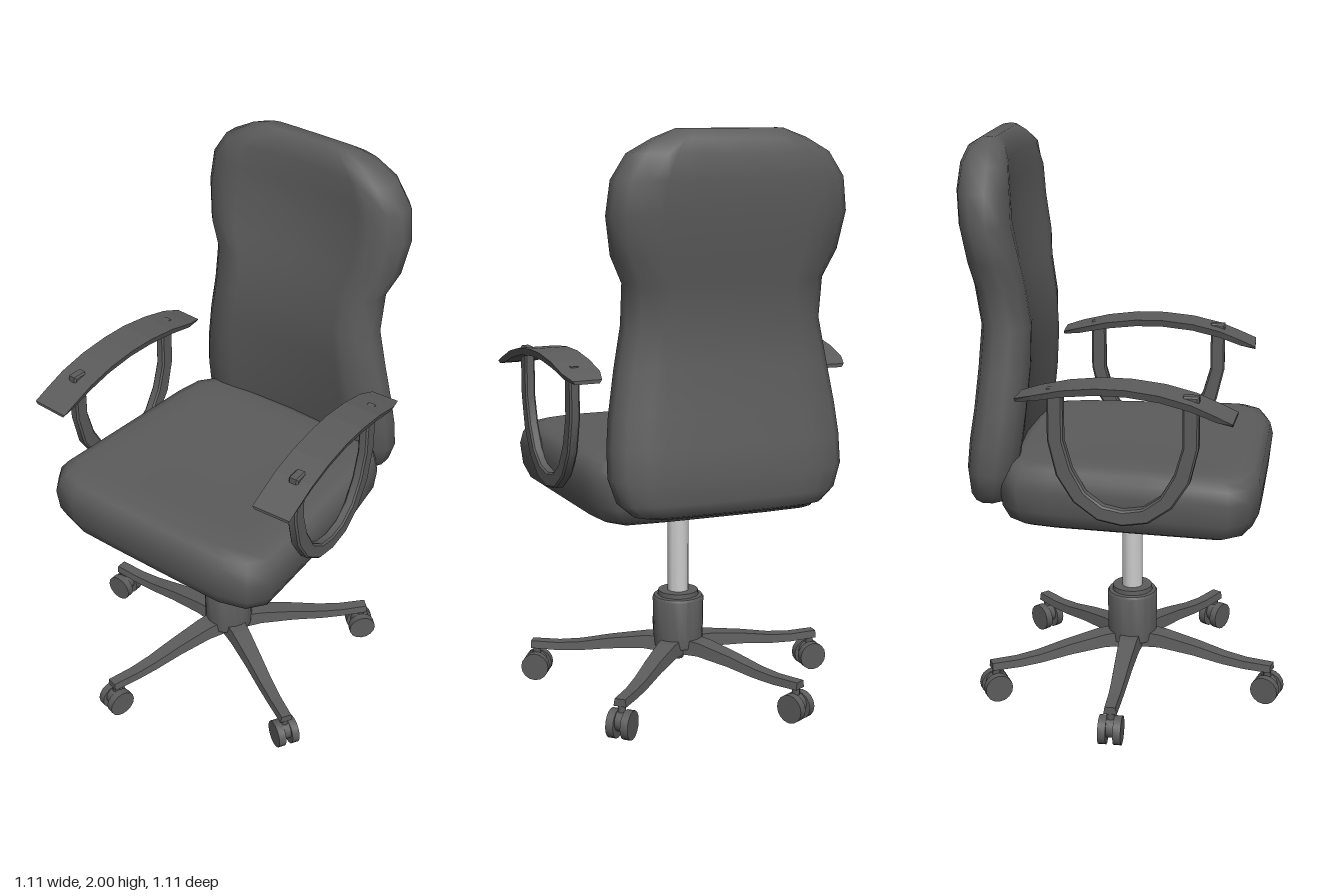
import * as THREE from 'three';
import { toCreasedNormals } from 'three/addons/utils/BufferGeometryUtils.js';

const V = (x, y, z) => new THREE.Vector3(x, y, z);
const dark = new THREE.MeshStandardMaterial({ color: 0x5c5c5c });
const darkFlat = new THREE.MeshStandardMaterial({ color: 0x5c5c5c, flatShading: true });
const metal = new THREE.MeshStandardMaterial({ color: 0xcccccc });

function add(parent, name, geometry, material) {
  const mesh = new THREE.Mesh(geometry, material);
  mesh.name = name;
  parent.add(mesh);
  return mesh;
}

// Skin over closed rings (counter-clockwise about the direction of travel), capped at both ends
function loft(rings) {
  const n = rings[0].length, m = rings.length, pos = [], idx = [];
  rings.forEach(r => r.forEach(p => pos.push(p.x, p.y, p.z)));
  for (let i = 0; i < m - 1; i++) for (let j = 0; j < n; j++) {
    const a = i * n + j, b = i * n + (j + 1) % n, c = a + n, d = b + n;
    idx.push(a, b, c, b, d, c);
  }
  [0, m - 1].forEach((r, end) => {
    const mid = rings[r].reduce((s, p) => s.add(p), V(0, 0, 0)).divideScalar(n);
    const k = pos.push(mid.x, mid.y, mid.z) / 3 - 1;
    for (let j = 0; j < n; j++) {
      const a = r * n + j, b = r * n + (j + 1) % n;
      idx.push(...(end ? [a, b, k] : [b, a, k]));
    }
  });
  const g = new THREE.BufferGeometry();
  g.setAttribute('position', new THREE.Float32BufferAttribute(pos, 3));
  g.setIndex(idx);
  g.computeVertexNormals();
  return g;
}

// Half outline [x, z] from front centre to back centre, completed by mirroring
const mirror = half => [...half, ...half.slice(1, -1).reverse().map(([x, z]) => [-x, z])];

function seat() {
  const outline = mirror([[0, 0.467], [0.17, 0.467], [0.32, 0.465], [0.42, 0.435], [0.467, 0.37], [0.45, 0.1],
    [0.427, -0.25], [0.41, -0.35], [0.36, -0.415], [0.2, -0.425], [0, -0.425]]);
  const levels = [[0.722, 0.15], [0.722, 0.055], [0.735, 0.03], [0.785, 0.008], [0.86, 0],
    [0.905, 0.01], [0.932, 0.03], [0.945, 0.065], [0.945, 0.15], [0.94, 0.3]];
  return loft(levels.map(([y, inset]) => {
    const k = 1 - inset / 0.45;
    return outline.map(([x, z]) => V(x * k, y, 0.02 + (z - 0.02) * k));
  }));
}

function backrest() {
  // height, half width, front z, back z
  const levels = [[0.768, 0.27, -0.43, -0.5], [0.78, 0.33, -0.405, -0.525], [0.82, 0.375, -0.383, -0.535],
    [0.9, 0.4, -0.362, -0.54], [1.0, 0.398, -0.345, -0.53], [1.1, 0.387, -0.332, -0.515], [1.245, 0.362, -0.315, -0.5],
    [1.385, 0.336, -0.31, -0.49], [1.52, 0.337, -0.328, -0.51], [1.61, 0.38, -0.345, -0.525], [1.735, 0.401, -0.367, -0.543],
    [1.845, 0.387, -0.372, -0.55], [1.925, 0.335, -0.375, -0.545], [1.97, 0.255, -0.392, -0.53], [2.0, 0.18, -0.43, -0.485]];
  return loft(levels.map(([y, w, zf, zb]) => {
    const t = Math.min(1, (zf - zb) / 0.17), e = 0.1 * t;
    const half = [[0, 1], [w * 0.4, 1], [w * 0.62, 1], [w - e, 0.97], [w - e * 0.35, 0.75], [w, 0.3], [w, -0.3],
      [w - e * 0.35, -0.75], [w - e, -0.97], [w * 0.62, -1], [w * 0.4, -1], [0, -1]];
    return mirror(half).map(([x, v]) => {
      // the sides wrap forward around the sitter
      const bow = Math.min(1, (x / 0.28) ** 2) - 1;
      const z = (zf + zb) / 2 + v * (zf - zb) / 2 + bow * t * (v > 0 ? 0.035 : 0.01);
      return V(x, y, z);
    });
  }));
}

function armPad() {
  // z, top height, thickness, half width
  const stations = [[-0.33, 1.205, 0.012, 0.05], [-0.27, 1.222, 0.02, 0.066], [-0.17, 1.245, 0.024, 0.067],
    [-0.06, 1.258, 0.025, 0.068], [0.04, 1.258, 0.025, 0.068], [0.15, 1.246, 0.025, 0.069],
    [0.25, 1.222, 0.025, 0.07], [0.33, 1.19, 0.022, 0.07], [0.385, 1.166, 0.01, 0.07]];
  return loft(stations.map(([z, y, t, w]) =>
    [V(-w + 0.008, y - t, z), V(w - 0.008, y - t, z), V(w, y, z), V(-w, y, z)]));
}

function armLoop() {
  // U-shaped band drawn in the z-y plane
  const half = [[0.25, 1.235], [0.25, 1.06], [0.222, 0.94], [0.165, 0.85], [0.085, 0.792], [0, 0.777]];
  const inner = [[0.197, 1.235], [0.197, 1.06], [0.17, 0.965], [0.125, 0.885], [0.066, 0.842], [0, 0.83]];
  const u = h => [...h, ...h.slice(0, -1).reverse().map(([a, y]) => [-a, y])];
  const shape = new THREE.Shape([...u(half), ...u(inner).reverse()].map(([a, y]) => new THREE.Vector2(a + 0.02, y)));
  const g = new THREE.ExtrudeGeometry(shape, { depth: 0.024, bevelEnabled: true, bevelSegments: 1,
    bevelSize: 0.006, bevelThickness: 0.006, bevelOffset: -0.006 });
  return g.translate(0, 0, -0.012).rotateY(-Math.PI / 2);
}

function baseLeg() {
  // distance from column, top, bottom, half width
  const stations = [[0.02, 0.198, 0.14, 0.045], [0.12, 0.195, 0.15, 0.04], [0.25, 0.176, 0.14, 0.033],
    [0.36, 0.155, 0.125, 0.028], [0.44, 0.147, 0.12, 0.025], [0.54, 0.148, 0.122, 0.023]];
  return loft(stations.map(([r, t, b, w]) => [V(r, b, -w), V(r, t, -w * 0.8), V(r, t, w * 0.8), V(r, b, w)]));
}

function caster() {
  const g = new THREE.Group();
  g.name = 'caster';
  for (const s of [-1, 1]) {
    const wheel = add(g, 'casterWheel', toCreasedNormals(
      new THREE.CylinderGeometry(0.05, 0.05, 0.027, 16).rotateX(Math.PI / 2), 0.6), dark);
    wheel.position.set(0, 0.055, s * 0.026);
  }
  const hood = add(g, 'casterHood', toCreasedNormals(
    new THREE.CylinderGeometry(0.036, 0.036, 0.03, 12).rotateX(Math.PI / 2), 0.6), dark);
  hood.position.y = 0.066;
  add(g, 'casterStem', new THREE.CylinderGeometry(0.014, 0.014, 0.05, 8), dark).position.y = 0.115;
  return g;
}

export function createModel() {
  const model = new THREE.Group();
  model.name = 'officeChair';
  const chair = new THREE.Group();
  chair.name = 'chair';
  chair.position.x = 0.018;
  model.add(chair);

  add(chair, 'seat', seat(), dark);
  add(chair, 'backrest', backrest(), dark);

  // Armrests, splayed slightly towards the front
  for (const s of [-1, 1]) {
    const arm = new THREE.Group();
    arm.name = s > 0 ? 'leftArmrest' : 'rightArmrest';
    arm.position.x = s * 0.449;
    arm.rotation.y = s * 0.052;
    add(arm, 'armPad', armPad(), darkFlat);
    add(arm, 'armLoop', toCreasedNormals(armLoop(), 0.5), dark).position.x = s * 0.006;
    chair.add(arm);
  }

  // Swivel base around the column
  const base = new THREE.Group();
  base.name = 'swivelBase';
  base.position.z = -0.014;
  chair.add(base);

  // Rounded square plate under the seat
  const plate = [[0.68, 0.115], [0.688, 0.138], [0.71, 0.152], [0.73, 0.152]].map(([y, w]) =>
    Array.from({ length: 24 }, (_, i) => {
      const a = i / 24 * Math.PI * 2, f = v => Math.sign(v) * Math.abs(v) ** 0.45;
      return V(w * f(Math.sin(a)), y, w * f(Math.cos(a)));
    }));
  add(base, 'mountingPlate', toCreasedNormals(loft(plate), 0.6), dark);

  const turned = (name, pts, mat) => add(base, name, toCreasedNormals(
    new THREE.LatheGeometry(pts.map(p => new THREE.Vector2(...p)), 20), 0.6), mat);
  turned('gasColumn', [[0.037, 0.33], [0.037, 0.635], [0.05, 0.635], [0.05, 0.69]], metal);
  turned('hub', [[0, 0.105], [0.018, 0.11], [0.035, 0.15], [0.088, 0.165], [0.091, 0.34], [0.086, 0.348],
    [0.073, 0.35], [0.071, 0.366], [0.036, 0.366]], dark);

  // Five legs, each with a twin-wheel caster
  for (const deg of [180, 105, 30, -48, -119]) {
    const leg = new THREE.Group();
    leg.name = 'leg';
    leg.rotation.y = -deg * Math.PI / 180;
    add(leg, 'legBeam', baseLeg(), darkFlat);
    const c = caster();
    c.position.x = 0.523;
    leg.add(c);
    base.add(leg);
  }
  return model;
}
